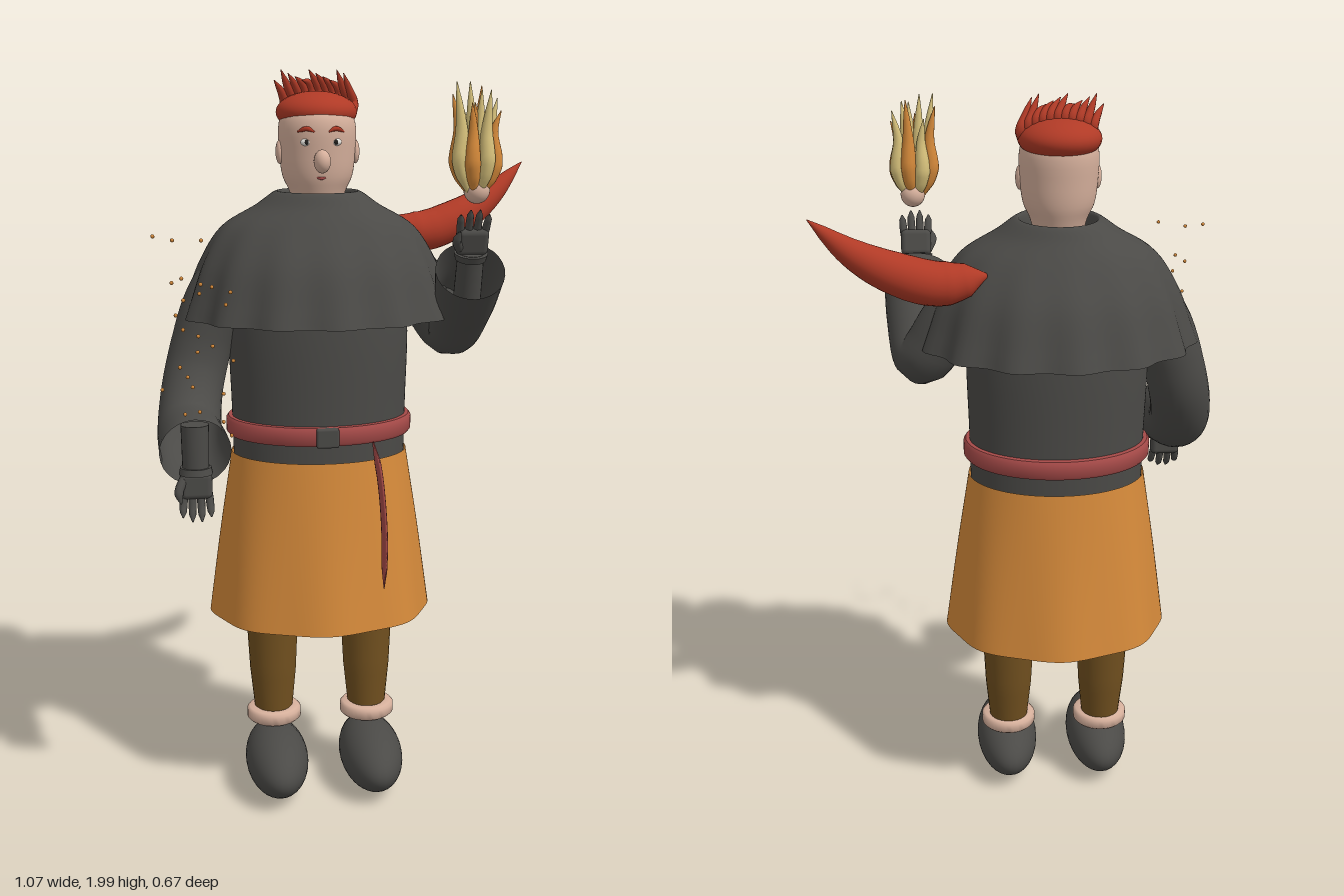
import * as THREE from 'three';
import { mergeVertices, toCreasedNormals } from 'three/addons/utils/BufferGeometryUtils.js';
import { RoundedBoxGeometry } from 'three/addons/geometries/RoundedBoxGeometry.js';

const mat = (name, color) => new THREE.MeshStandardMaterial({ name, color, side: THREE.DoubleSide });
const CX = -0.093, CZ = -0.022; // body axis
const V = (p) => new THREE.Vector3(...p);

// Weld seams and smooth the normals
function smooth(g) {
  g.deleteAttribute('uv');
  g.deleteAttribute('normal');
  const m = mergeVertices(g, 1e-5);
  m.computeVertexNormals();
  return m;
}

// Elliptical loft around the body axis; rows are [y, rx, rz], from the bottom up
function loft(rows, { wave = () => 0, steps = 20, sharp = false } = {}) {
  const curve = new THREE.CatmullRomCurve3(rows.map(V));
  const pts = sharp ? rows.map(V) : curve.getPoints(steps);
  const g = new THREE.LatheGeometry(pts.map((p) => new THREE.Vector2(1, p.x)), 96);
  const pos = g.attributes.position;
  for (let i = 0; i < pos.count; i++) {
    const p = pts[i % pts.length];
    const x = pos.getX(i), z = pos.getZ(i);
    const k = 1 + wave(Math.atan2(x, z), p.x);
    pos.setXYZ(i, CX + x * p.y * k, p.x, CZ + z * p.z * k);
  }
  return sharp ? toCreasedNormals(g, 0.7) : smooth(g);
}

// Tube along a curve with radii spread evenly; flat scales the section along x, y, z
function sweep(points, radii, { seg = 24, sides = 16, flat = [1, 1, 1] } = {}) {
  const curve = new THREE.CatmullRomCurve3(points.map(V));
  const g = new THREE.TubeGeometry(curve, seg, 1, sides);
  const pos = g.attributes.position, v = new THREE.Vector3(), f = V(flat);
  for (let i = 0; i < pos.count; i++) {
    const t = Math.floor(i / (sides + 1)) / seg;
    const s = t * (radii.length - 1), k = Math.min(Math.floor(s), radii.length - 2);
    const r = THREE.MathUtils.lerp(radii[k], radii[k + 1], s - k);
    const c = curve.getPointAt(t);
    v.fromBufferAttribute(pos, i).sub(c).multiplyScalar(Math.max(r, 0.0005)).multiply(f).add(c);
    pos.setXYZ(i, v.x, v.y, v.z);
  }
  return smooth(g);
}

export function createModel() {
  const charcoal = mat('charcoalCloth', 0x4b4a47), orange = mat('orange', 0xd4893a);
  const skin = mat('skin', 0xd6b09c), red = mat('red', 0xb03a26), rose = mat('roseBelt', 0xa54a48);
  const brown = mat('brownStocking', 0x71501f), straw = mat('paleFlame', 0xd8c27c);
  const white = mat('eyeWhite', 0xe8e6e0), dark = mat('darkPupil', 0x22201e);

  const model = new THREE.Group();
  model.name = 'robedFigure';
  const add = (name, g, m, parent = model) => {
    const mesh = new THREE.Mesh(g, m);
    mesh.name = name;
    parent.add(mesh);
    return mesh;
  };
  const ball = (name, m, at, size, parent = model) => {
    const mesh = add(name, new THREE.SphereGeometry(1, 32, 24), m, parent);
    mesh.position.set(...at);
    mesh.scale.set(...size);
    return mesh;
  };

  // Robe, cape, skirt
  add('tunic', loft([[0.94, 0.235, 0.18], [1.1, 0.238, 0.183], [1.35, 0.242, 0.185], [1.5, 0.22, 0.17], [1.62, 0.12, 0.11]]), charcoal);
  const capeWave = (a, y) => 0.03 * Math.sin(a * 14 + 0.6) * THREE.MathUtils.clamp((1.64 - y) / 0.28, 0, 1);
  add('cape', loft([[1.355, 0.363, 0.307], [1.40, 0.348, 0.292], [1.5, 0.312, 0.255], [1.59, 0.255, 0.197],
    [1.645, 0.165, 0.155], [1.682, 0.108, 0.126], [1.675, 0.1, 0.115], [1.63, 0.095, 0.1]], { wave: capeWave, steps: 40 }), charcoal);
  const skirtWave = (a, y) => 0.018 * Math.cos(a * 8) * (0.98 - y) / 0.46;
  add('skirt', loft([[0.52, 0.305, 0.258], [0.75, 0.275, 0.223], [0.98, 0.241, 0.19]], { wave: skirtWave }), orange);
  add('skirtLining', loft([[0.535, 0.292, 0.245], [0.75, 0.263, 0.211], [0.96, 0.232, 0.18]], { wave: skirtWave }), charcoal);

  // Belt with buckle and hanging end
  add('belt', loft([[1.03, 0.23, 0.18], [1.03, 0.248, 0.2], [1.038, 0.254, 0.206], [1.072, 0.254, 0.206],
    [1.08, 0.248, 0.2], [1.08, 0.23, 0.18]], { sharp: true }), rose);
  add('buckle', new RoundedBoxGeometry(0.06, 0.052, 0.03, 2, 0.006), charcoal).position.set(CX, 1.054, 0.178);
  add('beltEnd', sweep([[0.03, 1.035, 0.165], [0.045, 0.95, 0.185], [0.056, 0.8, 0.2], [0.054, 0.64, 0.212]],
    [0.008, 0.032, 0.033, 0.033, 0.033, 0.033, 0.03, 0.004], { seg: 32, flat: [0.22, 1, 1] }), rose);

  // Legs, anklets and shoes
  for (const [side, x] of [['right', -0.228], ['left', 0.042]]) {
    const leg = new THREE.Group();
    leg.name = side + 'Leg';
    model.add(leg);
    add('stocking', sweep([[x, 0.75, -0.04], [x, 0.5, -0.04], [x, 0.35, -0.037], [x, 0.19, -0.03]],
      [0.075, 0.076, 0.073, 0.066, 0.052], { sides: 28 }), brown, leg);
    const ring = [[0.05, 0.18], [0.07, 0.18], [0.077, 0.187], [0.077, 0.21], [0.07, 0.217], [0.05, 0.217]];
    add('anklet', toCreasedNormals(new THREE.LatheGeometry(ring.map((p) => new THREE.Vector2(...p)), 40), 0.8), skin, leg)
      .position.set(x, 0, -0.022);
    ball('shoe', charcoal, [x, 0.09, 0.055], [0.088, 0.087, 0.19], leg);
  }

  // Sleeves
  add('rightSleeve', sweep([[-0.27, 1.52, -0.03], [-0.37, 1.38, -0.03], [-0.43, 1.2, 0.0], [-0.45, 1.08, 0.1], [-0.44, 1.045, 0.25]],
    [0.08, 0.088, 0.082, 0.082, 0.084, 0.092], { seg: 40, sides: 28 }), charcoal);
  add('leftSleeve', sweep([[0.1, 1.53, -0.03], [0.2, 1.4, -0.03], [0.265, 1.31, -0.005], [0.28, 1.39, 0.1], [0.275, 1.49, 0.205]],
    [0.08, 0.082, 0.075, 0.076, 0.082, 0.09], { seg: 40, sides: 28 }), charcoal);

  // Gloved hands: fingers along local +y, curling to +z
  const hand = (name, thumb, curl) => {
    const h = new THREE.Group();
    h.name = name;
    model.add(h);
    add('wrist', new THREE.CylinderGeometry(0.034, 0.036, 0.13, 24), charcoal, h).position.y = -0.025;
    add('gloveCuff', new THREE.CylinderGeometry(0.044, 0.04, 0.018, 24), charcoal, h).position.y = 0.03;
    add('palm', new RoundedBoxGeometry(0.082, 0.07, 0.04, 3, 0.014), charcoal, h).position.y = 0.07;
    for (let i = 0; i < 4; i++) {
      const x = (i - 1.5) * 0.021, l = i % 3 ? 0.068 : 0.056;
      add('finger', sweep([[x, 0.09, 0], [x * 1.1, 0.09 + l * 0.6, curl * 0.4], [x * 1.15, 0.09 + l, curl]],
        [0.01, 0.0105, 0.01, 0.009, 0.002], { seg: 12, sides: 10 }), charcoal, h);
    }
    add('thumb', sweep([[thumb * 0.03, 0.05, 0.005], [thumb * 0.045, 0.08, 0.025], [thumb * 0.04, 0.11, 0.035]],
      [0.013, 0.012, 0.011, 0.002], { seg: 12, sides: 10 }), charcoal, h);
    return h;
  };
  const rightHand = hand('rightHand', 1, 0.035);
  rightHand.position.set(-0.44, 1.025, 0.235);
  rightHand.rotation.z = Math.PI;
  const leftHand = hand('leftHand', -1, 0.012);
  leftHand.position.set(0.275, 1.5, 0.195);
  leftHand.rotation.x = 0.3;

  // Flame above the raised hand
  const flame = new THREE.Group();
  flame.name = 'flame';
  flame.position.set(0.275, 1.69, 0.24);
  model.add(flame);
  ball('flameBase', skin, [0.005, 0.005, -0.005], [0.033, 0.033, 0.033], flame);
  for (let i = 0; i < 12; i++) {
    const a = i * Math.PI / 4 + 0.3, k = i < 8 ? 1 : 0.35;
    const c = Math.cos(a) * k, s = Math.sin(a) * k, top = 0.2 + 0.08 * ((i * 5) % 8) / 8;
    add('flameTongue', sweep([[c * 0.02, 0.0, s * 0.014], [c * 0.048, 0.07, s * 0.03], [c * 0.045, 0.15, s * 0.026], [c * 0.062, top, s * 0.033]],
      [0.006, 0.017, 0.021, 0.018, 0.013, 0.008, 0.001], { sides: 12 }), i % 2 ? straw : orange, flame);
  }

  // Horn behind the left shoulder
  add('horn', sweep([[0.1, 1.57, -0.175], [0.22, 1.555, -0.19], [0.33, 1.59, -0.215], [0.43, 1.65, -0.25], [0.53, 1.74, -0.285]],
    [0.005, 0.042, 0.055, 0.057, 0.056, 0.052, 0.046, 0.038, 0.028, 0.016, 0.001], { seg: 50, sides: 24 }), red);

  // Head and face
  const head = new THREE.Group();
  head.name = 'head';
  model.add(head);
  add('skull', loft([[1.62, 0.06, 0.06], [1.68, 0.074, 0.08], [1.72, 0.092, 0.093], [1.78, 0.1, 0.1], [1.86, 0.1, 0.102], [1.91, 0.07, 0.07]]), skin, head);
  ball('nose', skin, [CX, 1.762, 0.092], [0.022, 0.03, 0.026], head);
  for (const s of [-1, 1]) {
    const ex = CX + s * 0.038;
    ball('ear', skin, [CX + s * 0.1, 1.783, -0.012], [0.011, 0.031, 0.018], head);
    ball('eye', white, [ex, 1.81, 0.069], [0.015, 0.01, 0.008], head);
    ball('pupil', dark, [ex, 1.81, 0.074], [0.006, 0.007, 0.005], head);
    add('brow', sweep([[CX + s * 0.018, 1.836, 0.08], [ex, 1.844, 0.075], [CX + s * 0.06, 1.836, 0.062]],
      [0.002, 0.006, 0.006, 0.002], { sides: 8 }), red, head);
  }
  add('mouth', sweep([[CX - 0.018, 1.722, 0.066], [CX, 1.718, 0.071], [CX + 0.018, 1.722, 0.066]],
    [0.001, 0.004, 0.001], { sides: 8 }), rose, head);

  // Cap with a crest of curled spikes
  ball('cap', red, [CX, 1.884, -0.036], [0.107, 0.054, 0.108], head);
  for (let i = 0; i < 11; i++) {
    const x = CX - 0.088 + i * 0.0182, h = 1.965 + 0.026 * ((i * 3) % 4) / 3;
    const y = 1.925 - 3 * (x - CX) ** 2;
    add('crestSpike', sweep([[x, y - 0.02, -0.03], [x + 0.006, y + 0.01, -0.052], [x - 0.004, y + 0.035, -0.04], [x - 0.024, h, -0.018]],
      [0.012, 0.014, 0.012, 0.008, 0.001], { seg: 16, sides: 10 }), red, head);
  }

  // Sparks drifting above the lowered hand
  let seed = 7;
  const rand = () => (seed = (seed * 16807) % 2147483647) / 2147483647;
  const sparkShape = new THREE.SphereGeometry(0.005, 8, 6);
  for (let i = 0; i < 26; i++) {
    add('spark', sparkShape, orange).position.set(-0.53 + 0.2 * rand(), 1.06 + 0.58 * rand(), 0.235 + 0.1 * rand());
  }
  return model;
}
